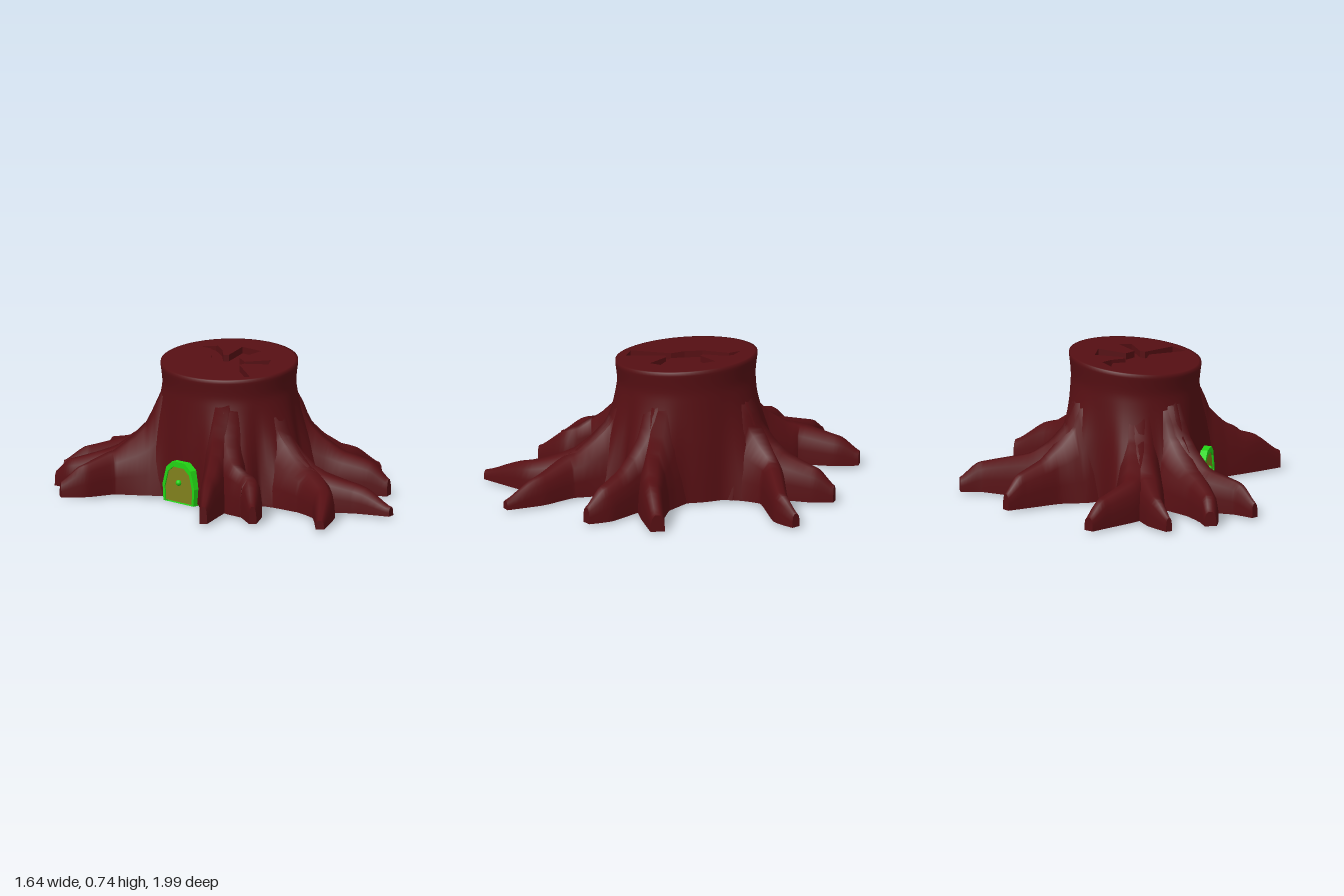
import * as THREE from 'three';
import { mergeVertices } from 'three/addons/utils/BufferGeometryUtils.js';

const CX = -0.055, CZ = -0.05, RX = 0.345, RZ = 0.375, TOP = 0.705, GROUND = 0.01;
const bark = new THREE.MeshStandardMaterial({ color: 0x560f13, side: THREE.DoubleSide });
const paint = (color) => new THREE.MeshStandardMaterial({ color });
const { clamp, lerp, mapLinear, smoothstep } = THREE.MathUtils;

// Slant of the sawn top
const tilt = (x, z) => 0.09 * (x - CX) - 0.03 * (z - CZ);

// Root height by distance from the trunk's axis
const HEIGHTS = [[0, 0.62], [0.34, 0.6], [0.38, 0.52], [0.42, 0.41], [0.5, 0.315], [0.6, 0.235], [0.8, 0.17], [0.95, 0.13], [1.05, 0.09], [1.2, 0.08]];
function rootHeight(r) {
  const i = Math.max(1, HEIGHTS.findIndex((p) => p[0] > r));
  const [a, b] = [HEIGHTS[i - 1], HEIGHTS[i]];
  return mapLinear(r, a[0], b[0], a[1], b[1]);
}

// Each root pair: two branches of [x, z, half width]
const ROOTS = {
  frontRoot: [
    [[-0.06, 0.12, 0.2], [-0.065, 0.36, 0.14], [-0.09, 0.6, 0.095], [-0.17, 0.77, 0.06], [-0.375, 0.95, 0.022]],
    [[-0.06, 0.12, 0.2], [-0.06, 0.36, 0.14], [-0.03, 0.61, 0.085], [0.06, 0.79, 0.055], [0.11, 0.99, 0.022]],
  ],
  frontLeftRoot: [
    [[0.08, 0.08, 0.19], [0.22, 0.18, 0.15], [0.34, 0.25, 0.09], [0.48, 0.295, 0.06], [0.67, 0.325, 0.038]],
    [[0.08, 0.08, 0.19], [0.19, 0.22, 0.14], [0.28, 0.36, 0.085], [0.39, 0.53, 0.065], [0.435, 0.645, 0.026]],
  ],
  frontRightRoot: [
    [[-0.2, 0.1, 0.18], [-0.36, 0.19, 0.12], [-0.46, 0.25, 0.075], [-0.58, 0.33, 0.05], [-0.72, 0.43, 0.02]],
    [[-0.2, 0.1, 0.18], [-0.34, 0.25, 0.12], [-0.41, 0.36, 0.065], [-0.42, 0.48, 0.06], [-0.535, 0.61, 0.02]],
  ],
  backRoot: [
    [[-0.1, -0.25, 0.2], [-0.16, -0.48, 0.13], [-0.175, -0.69, 0.08], [-0.07, -0.87, 0.055], [-0.015, -0.985, 0.028]],
    [[-0.12, -0.25, 0.18], [-0.2, -0.5, 0.12], [-0.27, -0.66, 0.08], [-0.335, -0.8, 0.048], [-0.43, -0.905, 0.018]],
  ],
  backLeftRoot: [
    [[0.08, -0.2, 0.2], [0.22, -0.36, 0.16], [0.31, -0.46, 0.09], [0.43, -0.6, 0.055], [0.495, -0.695, 0.022]],
    [[0.08, -0.2, 0.2], [0.25, -0.33, 0.16], [0.41, -0.38, 0.07], [0.69, -0.345, 0.045], [0.81, -0.39, 0.024]],
  ],
  backRightRoot: [
    [[-0.2, -0.2, 0.18], [-0.36, -0.38, 0.14], [-0.51, -0.55, 0.075], [-0.59, -0.67, 0.052], [-0.62, -0.76, 0.032]],
    [[-0.2, -0.2, 0.18], [-0.4, -0.35, 0.13], [-0.54, -0.44, 0.07], [-0.7, -0.475, 0.045], [-0.81, -0.545, 0.02]],
  ],
};

// Cross-sections as [side, height] fractions: sloping by the trunk, boxy farther out
const TENT = [[-1, 0], [-0.86, 0.27], [-0.64, 0.6], [-0.28, 0.92], [0.28, 0.92], [0.64, 0.6], [0.86, 0.27], [1, 0]];
const ARCH = [[-1, 0], [-0.97, 0.4], [-0.8, 0.76], [-0.35, 0.97], [0.35, 0.97], [0.8, 0.76], [0.97, 0.4], [1, 0]];
const ROWS = 28;

// Position, direction, half width and height along one branch
function sampleBranch(points) {
  // The curve carries the half width in its third coordinate
  const curve = new THREE.CatmullRomCurve3(points.map(([x, z, w]) => new THREE.Vector3(x, z, w)), false, 'catmullrom', 0.25);
  return Array.from({ length: ROWS + 1 }, (_, i) => {
    const t = i / ROWS, p = curve.getPoint(t), d = curve.getTangent(t), len = Math.hypot(d.x, d.y);
    const r = Math.hypot(p.x - CX, p.y - CZ);
    const h = (rootHeight(r) - GROUND) * (1 - 0.4 * smoothstep(t, 0.8, 1));
    return { x: p.x, z: p.y, w: p.z, dx: d.x / len, dz: d.y / len, h, tent: clamp((0.62 - r) / 0.2, 0, 1) };
  });
}

const branches = Object.entries(ROOTS).flatMap(([root, pair]) => pair.map((points) => ({ root, samples: sampleBranch(points) })));

function insideBranch(p, samples) {
  const dist = (s) => Math.hypot(p.x - s.x, p.z - s.z);
  const s = samples.reduce((a, b) => (dist(b) < dist(a) ? b : a));
  const along = (p.x - s.x) * s.dx + (p.z - s.z) * s.dz;
  const side = ((p.z - s.z) * s.dx - (p.x - s.x) * s.dz) / s.w;
  return Math.abs(along) < 0.03 && p.y - GROUND < 0.85 * s.h * (1 - side * side);
}
const insideTrunk = (p) => Math.hypot((p.x - CX) / RX, (p.z - CZ) / RZ) < 0.92;

// Drop faces buried in neighbouring parts, so the stump is hollow underneath
function hollow(g, tests) {
  const pos = g.attributes.position, index = g.index.array, kept = [];
  const buried = Array.from({ length: pos.count }, (_, i) => {
    const p = new THREE.Vector3().fromBufferAttribute(pos, i);
    return tests.map((test) => test(p));
  });
  for (let i = 0; i < index.length; i += 3) {
    const [a, b, c] = index.slice(i, i + 3);
    if (!tests.some((_, k) => buried[a][k] && buried[b][k] && buried[c][k])) kept.push(a, b, c);
  }
  g.setIndex(kept);
  return g;
}

function branchGeometry(samples) {
  const n = ARCH.length, pos = [], index = [];
  const addRow = (s, spread) => ARCH.forEach(([side, y], j) => {
    const k = lerp(side, TENT[j][0], s.tent) * s.w * spread;
    pos.push(s.x - s.dz * k, GROUND + lerp(y, TENT[j][1], s.tent) * s.h, s.z + s.dx * k);
  });
  samples.forEach((s) => addRow(s, 1));
  // Blunt tip with a hard edge
  addRow(samples[ROWS], 1);
  addRow(samples[ROWS], 0);
  for (let i = 0; i < ROWS + 2; i++) {
    if (i === ROWS) continue;
    for (let j = 0; j < n - 1; j++) {
      const a = i * n + j, c = a + n;
      index.push(a, a + 1, c, a + 1, c + 1, c);
    }
  }
  const g = new THREE.BufferGeometry();
  g.setAttribute('position', new THREE.Float32BufferAttribute(pos, 3));
  g.setIndex(index);
  g.computeVertexNormals();
  const others = branches.filter((b) => b.samples !== samples);
  return hollow(g, [insideTrunk, ...others.map((b) => (p) => insideBranch(p, b.samples))]);
}

// Trunk wall: oval lathe, flared toward each root pair, with a narrow rim
function trunkGeometry() {
  const side = [[1.06, GROUND], [1.05, 0.15], [1.03, 0.3], [1.01, 0.4], [0.985, 0.52], [0.975, 0.6], [1, TOP - 0.02]];
  const profile = new THREE.SplineCurve(side.map(([r, y]) => new THREE.Vector2(r, y))).getPoints(28);
  profile.push(new THREE.Vector2(1, TOP), new THREE.Vector2(0.96, TOP));
  let g = new THREE.LatheGeometry(profile, 96);
  g.deleteAttribute('uv');
  g.deleteAttribute('normal');
  const angles = Object.values(ROOTS).map(([a, b]) => Math.atan2((a[2][0] + b[2][0]) / 2 - CX, (a[2][1] + b[2][1]) / 2 - CZ));
  const p = g.attributes.position;
  for (let i = 0; i < p.count; i++) {
    const y = p.getY(i), a = Math.atan2(p.getX(i), p.getZ(i));
    const bump = Math.max(...angles.map((k) => Math.exp(-(((Math.cos(a - k) - 1) / 0.065) ** 2))));
    const flare = 1 + 0.42 * bump * Math.max(0, 1 - y / 0.6) ** 1.5;
    const x = CX + p.getX(i) * RX * flare, z = CZ + p.getZ(i) * RZ * flare;
    p.setXYZ(i, x, y + tilt(x, z) * (y / TOP) ** 2, z);
  }
  g = mergeVertices(g);
  g.computeVertexNormals();
  return hollow(g, branches.map((b) => (q) => insideBranch(q, b.samples)));
}

// Lay a flat shape down at height y and follow the slanted top
function layOnTop(g, y) {
  g.rotateX(-Math.PI / 2);
  const p = g.attributes.position;
  for (let i = 0; i < p.count; i++) p.setY(i, p.getY(i) + y + tilt(p.getX(i), p.getZ(i)));
  g.computeVertexNormals();
  return g;
}

const oval = () => new THREE.Shape().absellipse(CX, -CZ, RX * 0.962, RZ * 0.962, 0, Math.PI * 2);

// Outline of the split in the sawn top, as [x, z]
const SPLIT = [
  [0.005, -0.385], [0.09, -0.38], [0.085, -0.29], [0.04, -0.2], [-0.02, -0.13], [0, -0.11], [0.14, -0.15],
  [0.15, -0.02], [0, -0.03], [-0.03, 0.04], [0.075, 0.13], [0.015, 0.17], [-0.055, 0.06], [-0.085, 0.055],
  [-0.19, 0.24], [-0.27, 0.19], [-0.115, 0.015], [-0.12, -0.06], [-0.09, -0.15], [0.02, -0.26],
];

// Arched door outline, grown from its base centre
const doorShape = (s) => [[-0.112, 0], [0.112, 0], [0.118, 0.09], [0.09, 0.185], [0.045, 0.22], [-0.045, 0.22], [-0.09, 0.185], [-0.118, 0.09]]
  .map(([x, y]) => new THREE.Vector2(x * s, y * s));

export function createModel() {
  const model = new THREE.Group();
  const add = (parent, name, geometry, material) => {
    const mesh = new THREE.Mesh(geometry, material);
    mesh.name = name;
    parent.add(mesh);
    return mesh;
  };

  add(model, 'trunk', trunkGeometry(), bark);

  // Sawn top with a sunken split
  const top = oval();
  top.holes.push(new THREE.Path(SPLIT.map(([x, z]) => new THREE.Vector2(x, -z))));
  add(model, 'sawnTop', layOnTop(new THREE.ExtrudeGeometry(top, { depth: 0.04, bevelEnabled: false, curveSegments: 48 }), TOP - 0.04), bark);
  add(model, 'splitFloor', layOnTop(new THREE.ShapeGeometry(oval(), 48), TOP - 0.035), bark);

  // Forked roots
  for (const { root, samples } of branches) add(model, root, branchGeometry(samples), bark);

  // Small door in the side of the trunk
  const door = new THREE.Group();
  door.name = 'door';
  door.position.set(-0.405, 0, -0.03);
  door.rotation.y = -Math.PI / 2;
  const frame = new THREE.Shape(doorShape(1));
  frame.holes.push(new THREE.Path(doorShape(0.87)));
  const green = paint(0x22d414);
  add(door, 'doorFrame', new THREE.ExtrudeGeometry(frame, { depth: 0.045, bevelEnabled: false }), green);
  add(door, 'doorPanel', new THREE.ExtrudeGeometry(new THREE.Shape(doorShape(0.88)), { depth: 0.038, bevelEnabled: false }), paint(0x80801c)).position.y = 0.005;
  add(door, 'doorKnob', new THREE.SphereGeometry(0.016, 12, 8), green).position.set(0, 0.11, 0.043);
  const back = add(door, 'doorBack', new THREE.ShapeGeometry(new THREE.Shape(doorShape(0.92))), paint(0xd0699a));
  back.rotation.y = Math.PI;
  back.position.set(0, 0.012, -0.025);
  model.add(door);

  return model;
}
